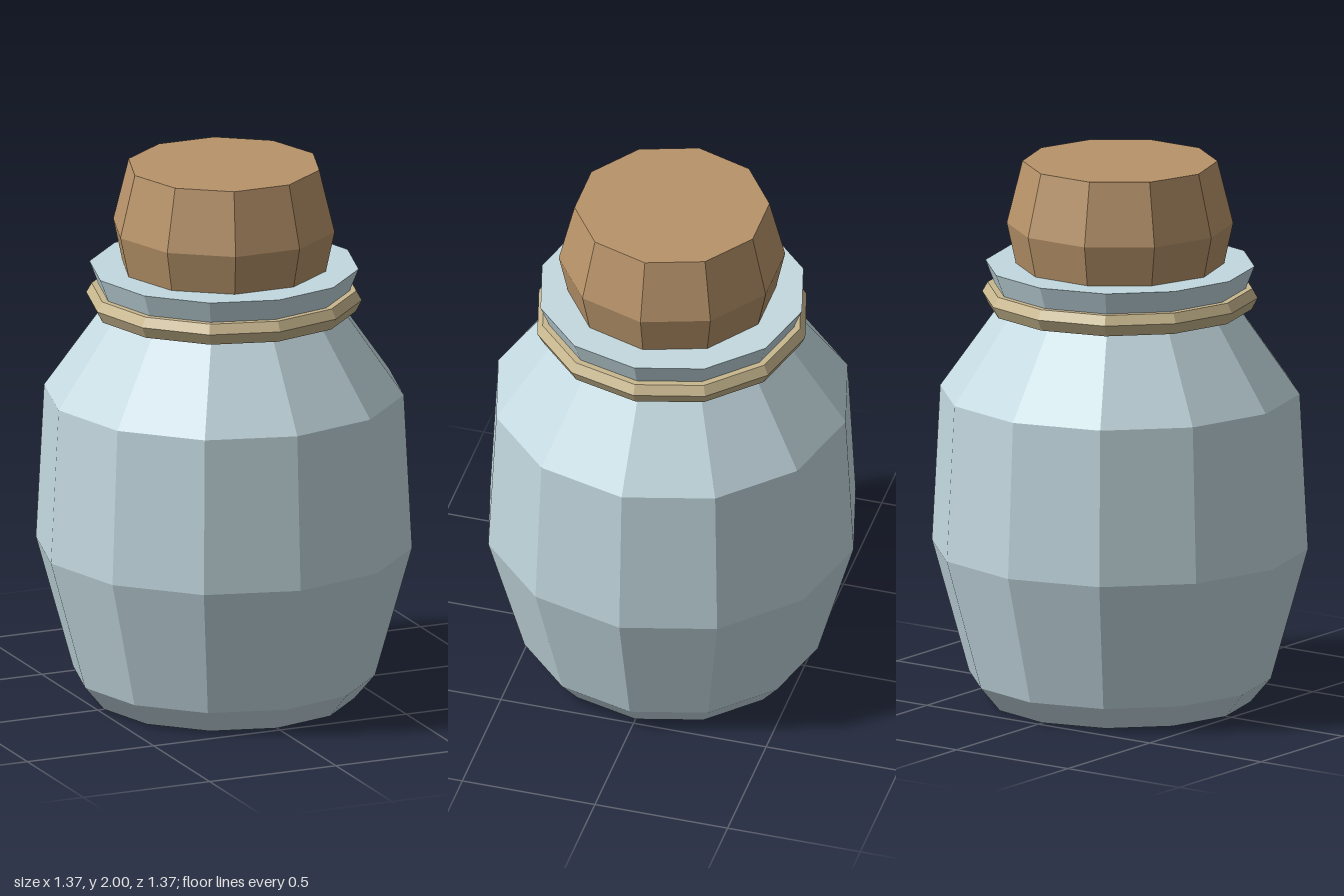
import * as THREE from 'three';

// Faceted solid of revolution; points are [radius, height] from bottom to top.
function turned(name, points, sides, color) {
  const profile = points.map(([r, y]) => new THREE.Vector2(r, y));
  // Starting at a quarter turn puts a corner on the x axis.
  const geometry = new THREE.LatheGeometry(profile, sides, Math.PI / 2);
  const material = new THREE.MeshStandardMaterial({ color, flatShading: true });
  const mesh = new THREE.Mesh(geometry, material);
  mesh.name = name;
  return mesh;
}

export function createModel() {
  const group = new THREE.Group();
  group.name = 'corkedBottle';

  // Bulging glass body with a flared rim
  group.add(turned('bottleBody', [
    [0, 0], [0.475, 0], [0.55, 0.09], [0.685, 0.575], [0.655, 1.15],
    [0.44, 1.455], [0.455, 1.53], [0.49, 1.62], [0, 1.62],
  ], 12, 0xc3d9e0));

  // Cord tied round the neck, a closed loop in section
  group.add(turned('neckCord', [
    [0.43, 1.46], [0.48, 1.46], [0.502, 1.503], [0.482, 1.538], [0.43, 1.538], [0.43, 1.46],
  ], 12, 0xc9b88f));

  // Stopper, widest a little above the rim
  group.add(turned('corkStopper', [
    [0, 1.6], [0.373, 1.6], [0.41, 1.77], [0.353, 2], [0, 2],
  ], 10, 0xb8946a));

  return group;
}
